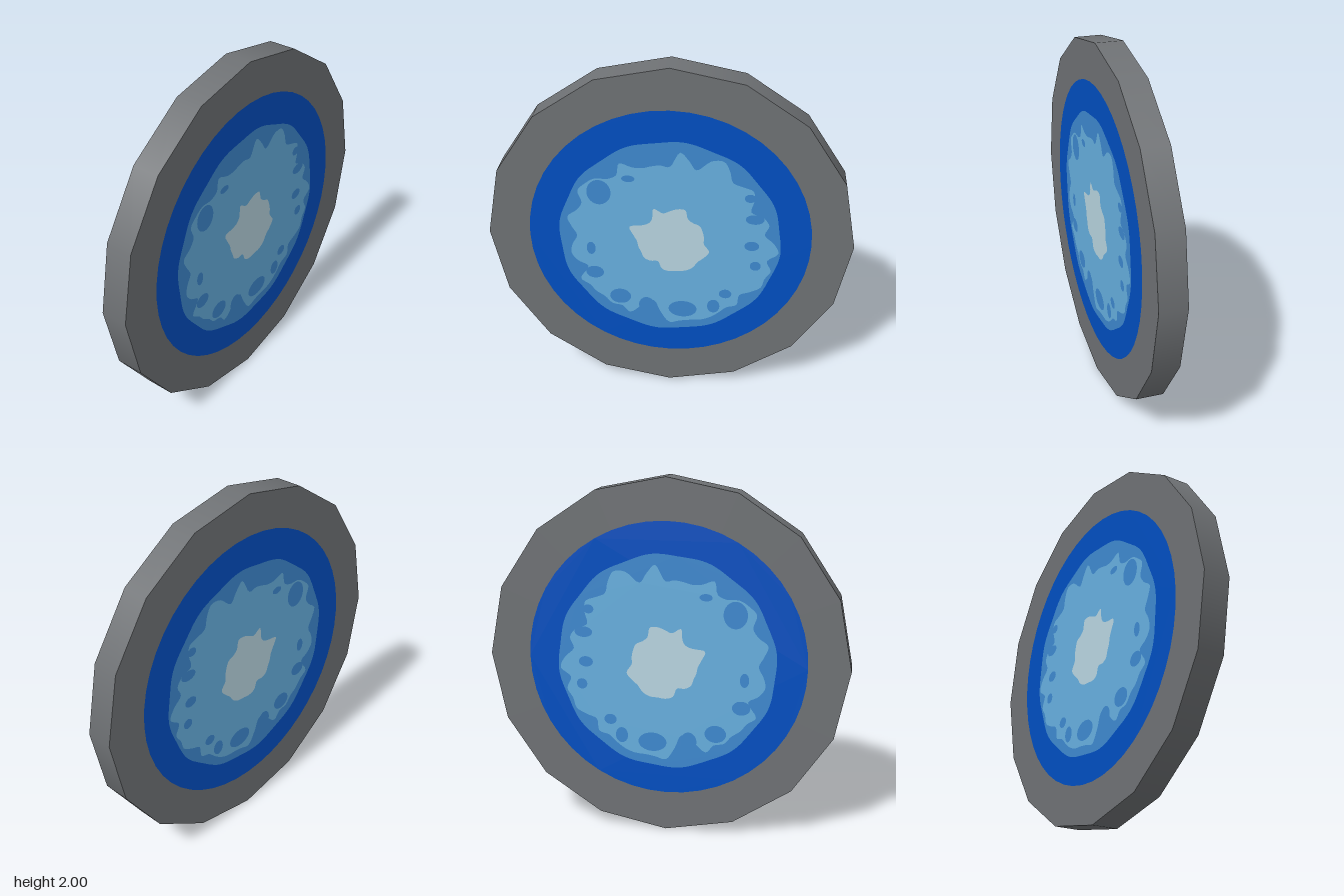
import * as THREE from 'three';

const material = (name, color) => {
  const m = new THREE.MeshStandardMaterial({ color });
  m.name = name;
  return m;
};

// Smooth closed outline from radii (hundredths) at equal steps from the top;
// side 1 runs clockwise, side -1 mirrors it
function ringShape(radii, side) {
  const pts = radii.map((r, i) => {
    const a = (i / radii.length) * Math.PI * 2;
    return new THREE.Vector3(side * Math.sin(a) * r / 100, Math.cos(a) * r / 100, 0);
  });
  const curve = new THREE.CatmullRomCurve3(pts, true);
  return new THREE.Shape(curve.getPoints(radii.length * 4).slice(0, -1).map(p => new THREE.Vector2(p.x, p.y)));
}

function ellipseShape(x, y, rx, ry) {
  const s = new THREE.Shape();
  s.absellipse(x, y, rx, ry, 0, Math.PI * 2);
  return s;
}

const PALE_RADII = [18, 20, 21, 17, 17, 19, 19, 19, 19, 23, 22, 21, 22, 22, 21,
  21, 20, 16, 18, 19, 18, 18, 18, 20, 23, 17, 15, 16, 21, 17];

const LIGHT_RADII = [45, 54, 50, 46, 54, 57, 54, 50, 52, 55, 52, 48, 53, 55, 52,
  57, 60, 55, 59, 58, 59, 56, 53, 57, 55, 56, 57, 57, 56, 56,
  57, 50, 43, 47, 56, 54, 56, 55, 56, 56, 58, 50, 54, 56, 54,
  51, 54, 57, 53, 52, 57, 56, 54, 49, 48, 53, 48, 46, 46, 46];

// Slightly wavy outer edge of the mid blue ring, a little lower than centre
const MID_RADII = LIGHT_RADII.map((r, i) =>
  Math.max(r + 1, 60.5 - Math.cos(i * Math.PI / 30) + Math.sin(i * Math.PI / 2.5) * 0.5));

// Spots inside the light area: x, y, radius x, radius y
const SPOTS = [
  [-0.38, 0.28, 0.065, 0.075], [-0.22, 0.37, 0.035, 0.02], [-0.435, -0.08, 0.025, 0.04],
  [-0.42, -0.24, 0.05, 0.04], [-0.28, -0.4, 0.06, 0.05], [-0.13, -0.455, 0.045, 0.055],
  [0.075, -0.47, 0.08, 0.055], [0.25, -0.44, 0.035, 0.045], [0.315, -0.35, 0.035, 0.03],
  [0.45, -0.02, 0.04, 0.03], [0.475, -0.15, 0.03, 0.03], [0.46, 0.15, 0.05, 0.03],
  [0.43, 0.28, 0.03, 0.025],
];

export function createModel() {
  const grey = material('stone grey', 0x6f7275);
  const deepBlue = material('deep blue', 0x004fc2);
  const midBlue = material('mid blue', 0x3e89d0);
  const lightBlue = material('light blue', 0x67b0e0);
  const paleBlue = material('pale blue', 0xb9d6e2);

  const model = new THREE.Group();
  model.name = 'disc';
  const thickness = 0.15;

  // Sixteen-sided disc standing on edge
  const body = new THREE.Mesh(new THREE.CylinderGeometry(1, 1, thickness, 16), grey);
  body.geometry.rotateZ(-Math.PI / 2);
  body.name = 'discBody';
  model.add(body);

  // Painted layers, stacked outward from each face; the two faces mirror each other
  for (const side of [1, -1]) {
    const layers = [
      ['outerRing', ellipseShape(0, 0, 0.772, 0.772), deepBlue],
      ['middleRing', ringShape(MID_RADII, side), midBlue],
      ['innerArea', ringShape(LIGHT_RADII, side), lightBlue],
      ['spots', SPOTS.map(([x, y, rx, ry]) => ellipseShape(side * x, y, rx, ry)), midBlue],
      ['centre', ringShape(PALE_RADII, side), paleBlue],
    ];
    const face = new THREE.Group();
    face.name = side > 0 ? 'leftFace' : 'rightFace';
    layers.forEach(([name, shapes, mat], i) => {
      const plate = new THREE.Mesh(new THREE.ShapeGeometry(shapes, 24), mat);
      plate.name = name;
      plate.position.z = thickness / 2 + 0.001 * (i + 1);
      face.add(plate);
    });
    face.rotation.y = side * Math.PI / 2;
    model.add(face);
  }

  // Stand on the ground with a very slight turn
  model.position.y = 1;
  model.rotation.y = 0.0075;
  return model;
}
